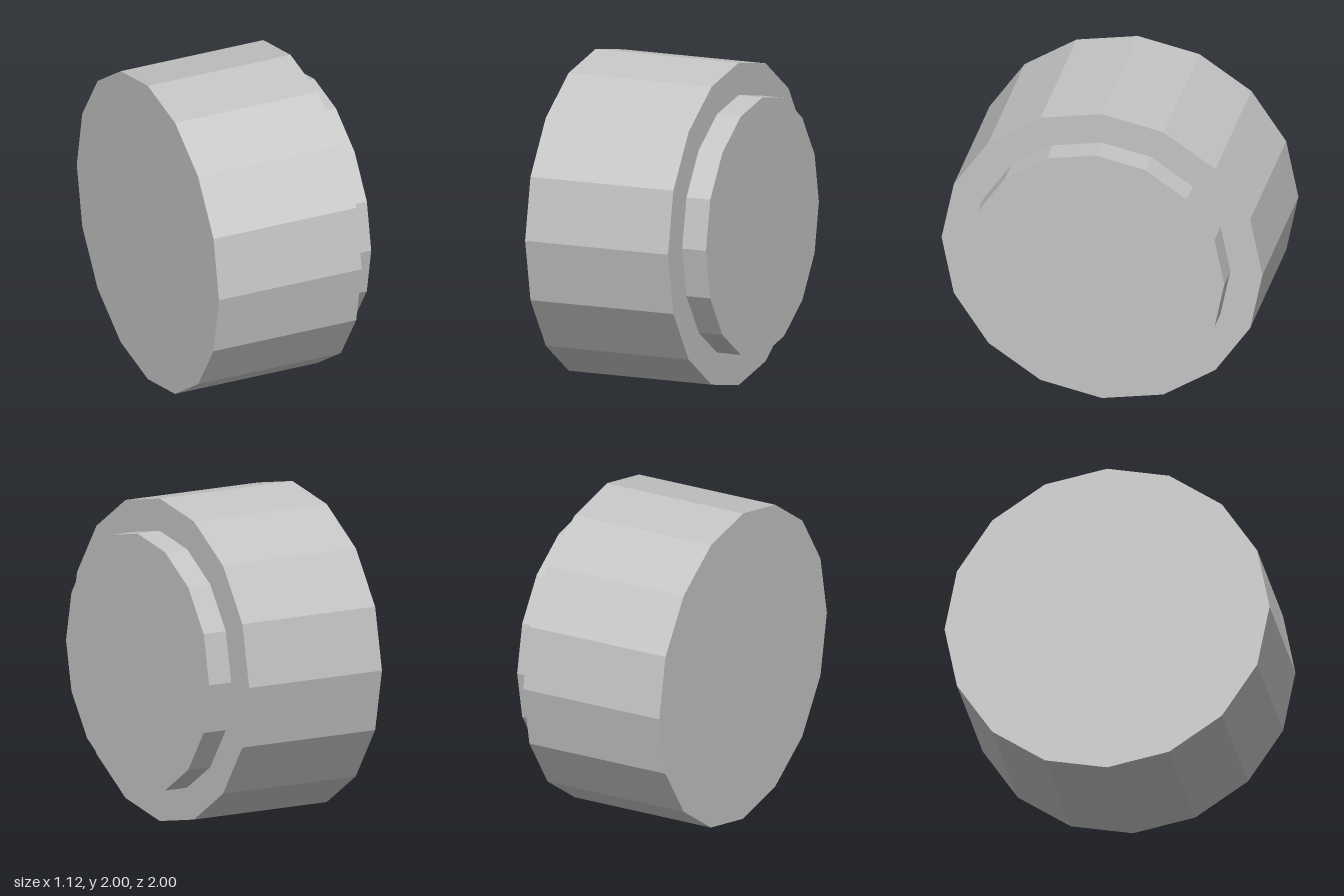
import * as THREE from 'three';

const SIDES = 16;

export function createModel() {
  const model = new THREE.Group();
  model.name = 'steppedDrum';

  const grey = new THREE.MeshStandardMaterial({ color: 0xc4c4c4 });
  grey.name = 'light grey';
  grey.flatShading = true;

  // Sixteen-sided disc lying along x, between two x positions
  function addDisc(name, radius, x0, x1) {
    const geometry = new THREE.CylinderGeometry(radius, radius, x1 - x0, SIDES);
    geometry.rotateZ(-Math.PI / 2);
    const mesh = new THREE.Mesh(geometry, grey);
    mesh.name = name;
    mesh.position.set((x0 + x1) / 2, 1, 0);
    model.add(mesh);
  }

  // Wide main drum
  addDisc('drum', 1, -0.56, 0.4);
  // Narrower raised face on the left end
  addDisc('raisedFace', 0.8, 0.4, 0.56);

  return model;
}
